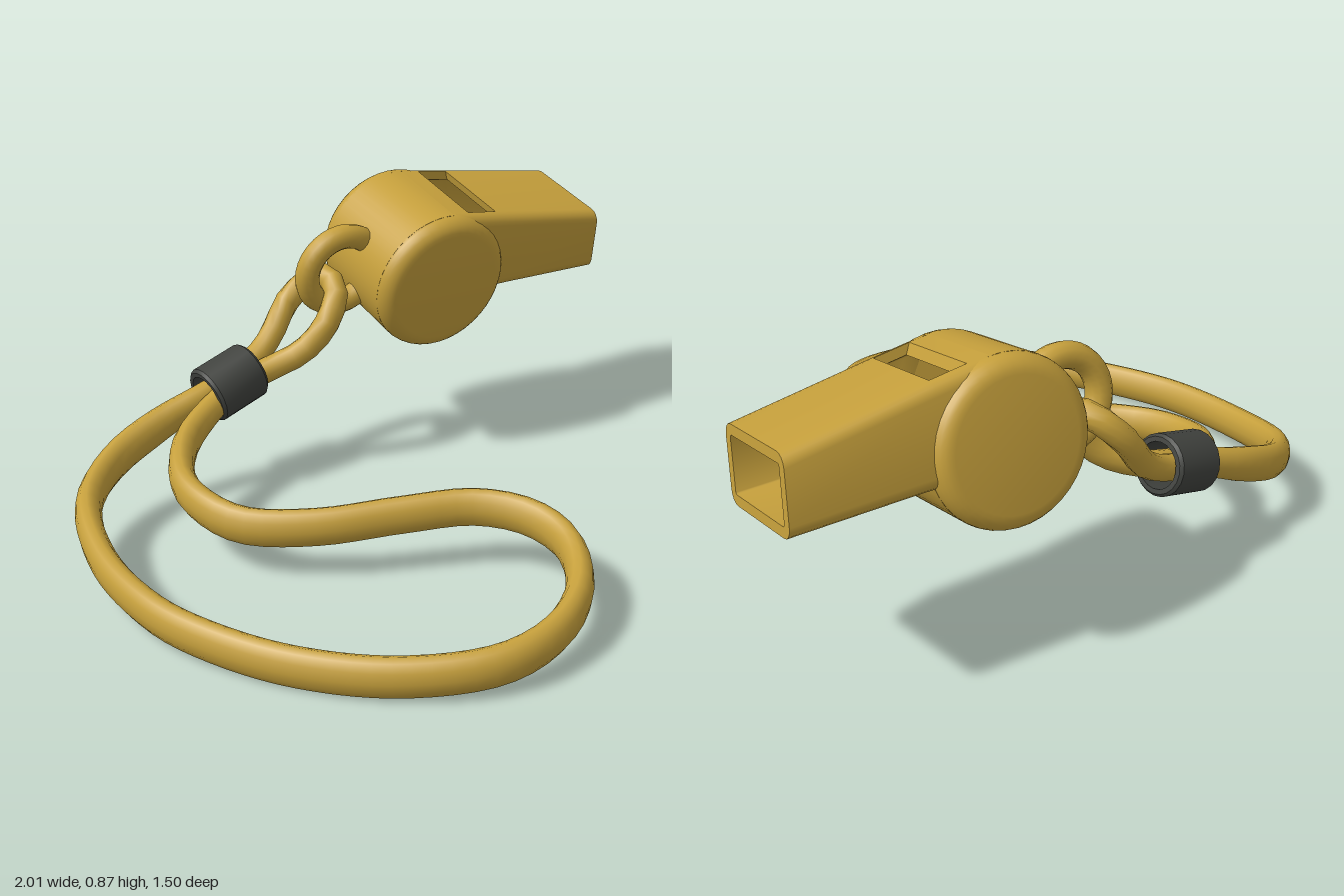
import * as THREE from 'three';
import { toCreasedNormals } from 'three/addons/utils/BufferGeometryUtils.js';

const V = (x, y, z) => new THREE.Vector3(x, y, z);

// Geometry from a list of quads, each given as four corner vectors
function fromQuads(quads, crease) {
  const pos = [];
  for (const [a, b, c, d] of quads)
    for (const p of [a, b, c, a, c, d]) pos.push(p.x, p.y, p.z);
  const geo = new THREE.BufferGeometry();
  geo.setAttribute('position', new THREE.Float32BufferAttribute(pos, 3));
  return toCreasedNormals(geo, crease);
}

// Quads joining neighbouring rings of points
function bridge(rings, { closed = false, flip = false, skip = () => false } = {}) {
  const quads = [];
  const count = closed ? rings.length : rings.length - 1;
  for (let i = 0; i < count; i++) {
    const r0 = rings[i], r1 = rings[(i + 1) % rings.length], n = r0.length;
    for (let j = 0; j < n; j++) {
      if (skip(i, j)) continue;
      const k = (j + 1) % n;
      quads.push(flip ? [r0[j], r0[k], r1[k], r1[j]] : [r0[j], r1[j], r1[k], r0[k]]);
    }
  }
  return quads;
}

// Hollow rectangular mouthpiece with a slot through its top face
function mouthpieceGeometry() {
  const wall = 0.028;
  const sections = [ // x at top, x at bottom, top, bottom, half width
    [0, 0.19, 0.222, -0.045, 0.176],
    [0.06, 0.215, 0.221, -0.043, 0.176],
    [0.165, 0.27, 0.216, -0.038, 0.175],
    [0.565, 0.6, 0.192, -0.012, 0.172],
  ];
  const ring = ([xt, xb, top, bot, half], inset, r) => {
    const pts = [];
    const y1 = top - inset, y0 = bot + inset, h = half - inset;
    [[1, 1], [-1, 1], [-1, -1], [1, -1]].forEach(([sz, sy], q) => {
      for (let s = 0; s <= 4; s++) {
        const a = (q + s / 4) * Math.PI / 2;
        const y = (sy > 0 ? y1 - r : y0 + r) + Math.sin(a) * r;
        const x = xt + (xb - xt) * (top - y) / (top - bot);
        pts.push(V(x, y, sz * (h - r) + Math.cos(a) * r));
      }
    });
    return pts;
  };
  const outer = sections.map(s => ring(s, 0, 0.034));
  const inner = sections.map(s => ring(s, wall, 0.008));
  const skip = (i, j) => i === 1 && j === 4;   // the slot
  const o1 = outer[1], o2 = outer[2], n1 = inner[1], n2 = inner[2];
  return fromQuads([
    ...bridge(outer, { skip }),
    ...bridge(inner, { skip, flip: true }),
    ...bridge([outer[3], inner[3]]),
    [o1[4], o1[5], n1[5], n1[4]],
    [o2[5], o2[4], n2[4], n2[5]],
    [o2[4], o1[4], n1[4], n2[4]],
    [o1[5], o2[5], n2[5], n1[5]],
  ], 0.6);
}

// Lathe turned so its axis runs along z
function zLathe(points, segments, start = 0, length = Math.PI * 2) {
  const geo = new THREE.LatheGeometry(points.map(p => new THREE.Vector2(...p)), segments, start, length);
  return toCreasedNormals(geo.rotateX(Math.PI / 2), 0.6);
}

// Closed cord with an oval cross-section that stays upright
function cordGeometry(points) {
  const curve = new THREE.CatmullRomCurve3(points.map(p => V(...p)), true, 'centripetal');
  const rings = [], steps = 110, sides = 12, up = V(0, 1, 0);
  for (let i = 0; i < steps; i++) {
    const c = curve.getPointAt(i / steps), t = curve.getTangentAt(i / steps);
    const side = t.clone().cross(up).normalize();
    const rise = side.clone().cross(t);
    const height = THREE.MathUtils.lerp(0.056, 0.038, THREE.MathUtils.smoothstep(c.x, -0.5, -0.2) * THREE.MathUtils.smoothstep(-c.z, 0.2, 0.5));
    rings.push(Array.from({ length: sides }, (_, j) => {
      const a = j / sides * Math.PI * 2;
      return c.clone().addScaledVector(side, Math.cos(a) * 0.037).addScaledVector(rise, Math.sin(a) * height);
    }));
  }
  return fromQuads(bridge(rings, { closed: true }), 1.2);
}

export function createModel() {
  const model = new THREE.Group();
  model.name = 'whistleOnLanyard';

  const yellow = new THREE.MeshStandardMaterial({ color: 0xc6a03c, side: THREE.DoubleSide });
  yellow.name = 'mustard yellow';
  const dark = new THREE.MeshStandardMaterial({ color: 0x41433f, side: THREE.DoubleSide });
  dark.name = 'charcoal';

  const add = (parent, name, geo, mat) => {
    const mesh = new THREE.Mesh(geo, mat);
    mesh.name = name;
    parent.add(mesh);
    return mesh;
  };

  // Whistle: local x runs to the mouth, z across the barrel
  const whistle = new THREE.Group();
  whistle.name = 'whistle';
  const f = V(0.94, -0.1, 0.325).normalize();
  const u = V(-0.345, -0.22, 0.91).cross(f).normalize();
  const w = f.clone().cross(u);
  whistle.quaternion.setFromRotationMatrix(new THREE.Matrix4().makeBasis(f, u, w));
  whistle.position.set(0.39, 0.625, -0.375);
  model.add(whistle);

  add(whistle, 'mouthpiece', mouthpieceGeometry(), yellow);

  // Barrel wall, open where the mouthpiece enters
  add(whistle, 'barrelWall', zLathe(
    [[0.192, -0.155], [0.222, -0.155], [0.222, 0.155], [0.192, 0.155], [0.192, -0.155]],
    36, Math.PI - 0.04, Math.PI + 1.46), yellow);

  // Rounded barrel ends
  const capProfile = [[0, 0.15], [0.222, 0.15]];
  for (let i = 0; i <= 6; i++) {
    const a = i / 6 * Math.PI / 2;
    capProfile.push([0.174 + 0.048 * Math.cos(a), 0.152 + 0.05 * Math.sin(a)]);
  }
  capProfile.push([0, 0.206]);
  for (const side of [0, 1]) {
    const cap = add(whistle, side ? 'barrelEndBack' : 'barrelEndFront', zLathe(capProfile, 40), yellow);
    cap.rotation.x = side * Math.PI;
  }

  // Ring on the back of the barrel
  const bail = add(whistle, 'cordRing', new THREE.TorusGeometry(0.115, 0.037, 12, 32), yellow);
  bail.position.set(-0.26, -0.02, 0);

  // Lanyard: wide loop, then both strands through the toggle and ring
  add(model, 'lanyardCord', cordGeometry([
    [-0.29, 0.31, -0.655], [-0.42, 0.26, -0.70], [-0.585, 0.2, -0.72], [-0.745, 0.15, -0.655],
    [-0.88, 0.1, -0.455], [-0.955, 0.075, -0.19], [-0.955, 0.065, 0], [-0.905, 0.058, 0.24],
    [-0.79, 0.062, 0.48], [-0.62, 0.08, 0.66], [-0.45, 0.1, 0.705], [-0.29, 0.13, 0.67],
    [-0.17, 0.165, 0.56], [-0.135, 0.185, 0.42], [-0.18, 0.19, 0.27], [-0.32, 0.178, 0.12],
    [-0.48, 0.16, -0.04], [-0.585, 0.155, -0.21], [-0.6, 0.17, -0.33], [-0.56, 0.195, -0.465],
    [-0.45, 0.24, -0.565], [-0.3, 0.295, -0.6], [-0.2, 0.33, -0.595], [-0.1, 0.36, -0.56],
    [-0.01, 0.41, -0.49], [0.05, 0.49, -0.445], [0.115, 0.58, -0.46], [0.13, 0.605, -0.54],
    [0.07, 0.53, -0.61], [-0.02, 0.42, -0.62], [-0.1, 0.37, -0.625], [-0.2, 0.335, -0.64],
  ]), yellow);

  // Toggle sleeve around both strands
  const toggle = add(model, 'toggle', zLathe([
    [0.066, -0.085], [0.08, -0.085], [0.088, -0.076], [0.088, 0.076],
    [0.08, 0.085], [0.066, 0.085], [0.066, -0.085],
  ], 20), dark);
  toggle.position.set(-0.2, 0.338, -0.622);
  toggle.quaternion.setFromUnitVectors(V(0, 0, 1), V(0.94, 0.26, 0.2).normalize());

  return model;
}
